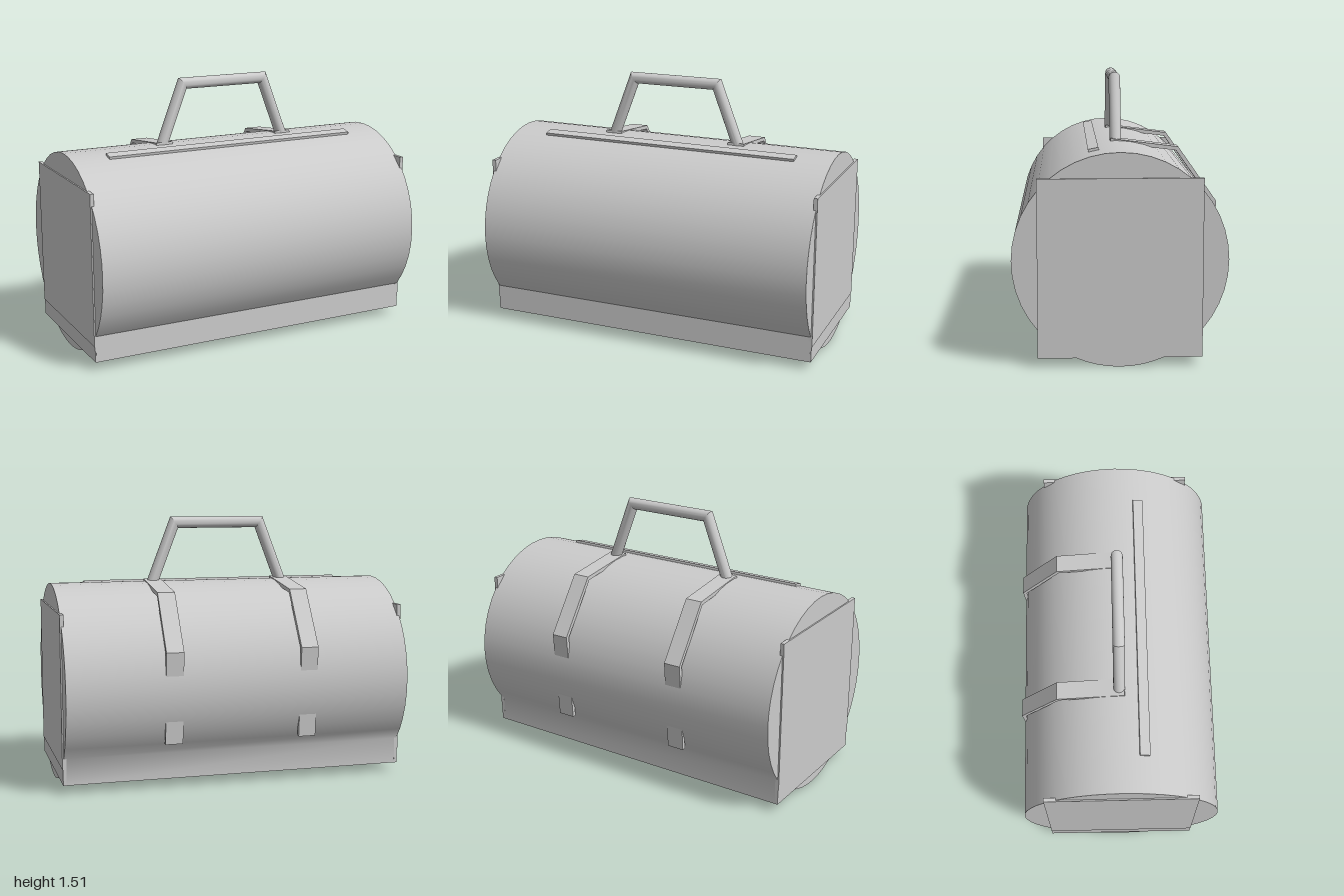
import * as THREE from 'three';
import { toCreasedNormals } from 'three/addons/utils/BufferGeometryUtils.js';

const material = new THREE.MeshStandardMaterial({ color: 0xcccccc });

function addMesh(group, name, geometry, x = 0, y = 0, z = 0) {
  const mesh = new THREE.Mesh(geometry, material);
  mesh.name = name;
  mesh.position.set(x, y, z);
  group.add(mesh);
  return mesh;
}

// Extrude a closed (z, y) outline along x, centred on x = 0
function extrudeAlongX(points, width, crease) {
  const shape = new THREE.Shape(points.map(([z, y]) => new THREE.Vector2(z, y)));
  const geometry = new THREE.ExtrudeGeometry(shape, { depth: width, bevelEnabled: false });
  geometry.translate(0, 0, -width / 2);
  geometry.rotateY(-Math.PI / 2);
  return toCreasedNormals(geometry, crease);
}

// Unit-step miter offsets for an open 2D path
function miters(path) {
  const normal = (a, b) => new THREE.Vector2(a[1] - b[1], b[0] - a[0]).normalize();
  return path.map((p, i) => {
    const before = i > 0 ? normal(path[i - 1], p) : normal(p, path[1]);
    const after = i < path.length - 1 ? normal(p, path[i + 1]) : before;
    const m = before.clone().add(after).normalize();
    return m.divideScalar(m.dot(before));
  });
}

// Round bar with mitred corners following a path in the xy plane
function miteredBar(path, radius, sides = 20) {
  const m = miters(path);
  const positions = [], index = [];
  path.forEach(([x, y], i) => {
    for (let j = 0; j < sides; j++) {
      const a = (j / sides) * Math.PI * 2, c = Math.cos(a) * radius;
      positions.push(x + m[i].x * c, y + m[i].y * c, Math.sin(a) * radius);
    }
  });
  for (let i = 0; i < path.length - 1; i++) {
    for (let j = 0; j < sides; j++) {
      const k = (j + 1) % sides;
      const a = i * sides + j, b = i * sides + k;
      index.push(a, b, a + sides, b, b + sides, a + sides);
    }
  }
  const geometry = new THREE.BufferGeometry();
  geometry.setAttribute('position', new THREE.Float32BufferAttribute(positions, 3));
  geometry.setIndex(index);
  return toCreasedNormals(geometry, 0.5);
}

export function createModel() {
  const bag = new THREE.Group();
  bag.name = 'duffelBag';

  // Barrel body: a round section running into a square-sided base
  const radius = 0.567, half = 0.432, baseY = 0.05;
  const outline = [];
  const arc = (from, to, steps) => {
    for (let i = 0; i <= steps; i++) {
      const a = from + ((to - from) * i) / steps;
      outline.push([Math.cos(a) * radius, radius + Math.sin(a) * radius]);
    }
  };
  const wall = Math.acos(half / radius);
  const belly = Math.asin((radius - baseY) / radius);
  outline.push([half + 0.003, baseY]);
  arc(-wall, Math.PI + wall, 32);
  outline.push([-half, baseY]);
  arc(-Math.PI + belly, -belly, 8);
  addMesh(bag, 'body', extrudeAlongX(outline, 1.984, 0.65));

  // Square end panels with a lower seam strip
  for (const side of [-1, 1]) {
    addMesh(bag, 'endPanel', new THREE.BoxGeometry(0.022, 0.86, 0.865), side * 0.989, 0.57, 0);
    addMesh(bag, 'endSeamStrip', new THREE.BoxGeometry(0.018, 0.09, 0.865), side * 0.988, 0.095, 0);
  }

  // Zip strip lying on the front of the crown
  const strip = addMesh(bag, 'zipStrip', new THREE.BoxGeometry(1.56, 0.024, 0.058), 0, 1.119, 0.133);
  strip.rotation.x = 0.2;

  // Carry handle
  const handlePath = [[-0.4, 1.11], [-0.26, 1.475], [0.26, 1.475], [0.4, 1.11]];
  addMesh(bag, 'handle', miteredBar(handlePath, 0.033));

  // Straps folding down over the back
  const strapPath = [[0.03, 1.135], [-0.345, 1.088], [-0.558, 0.785], [-0.52, 0.27]];
  const m = miters(strapPath);
  const edge = (d) => strapPath.map(([z, y], i) => [z + m[i].x * d, y + m[i].y * d]);
  const strapOutline = [...edge(0.011), ...edge(-0.011).reverse()];
  for (const side of [-1, 1]) {
    addMesh(bag, 'strap', extrudeAlongX(strapOutline, 0.1, 0.3), side * 0.39, 0, 0);
  }

  return bag;
}
